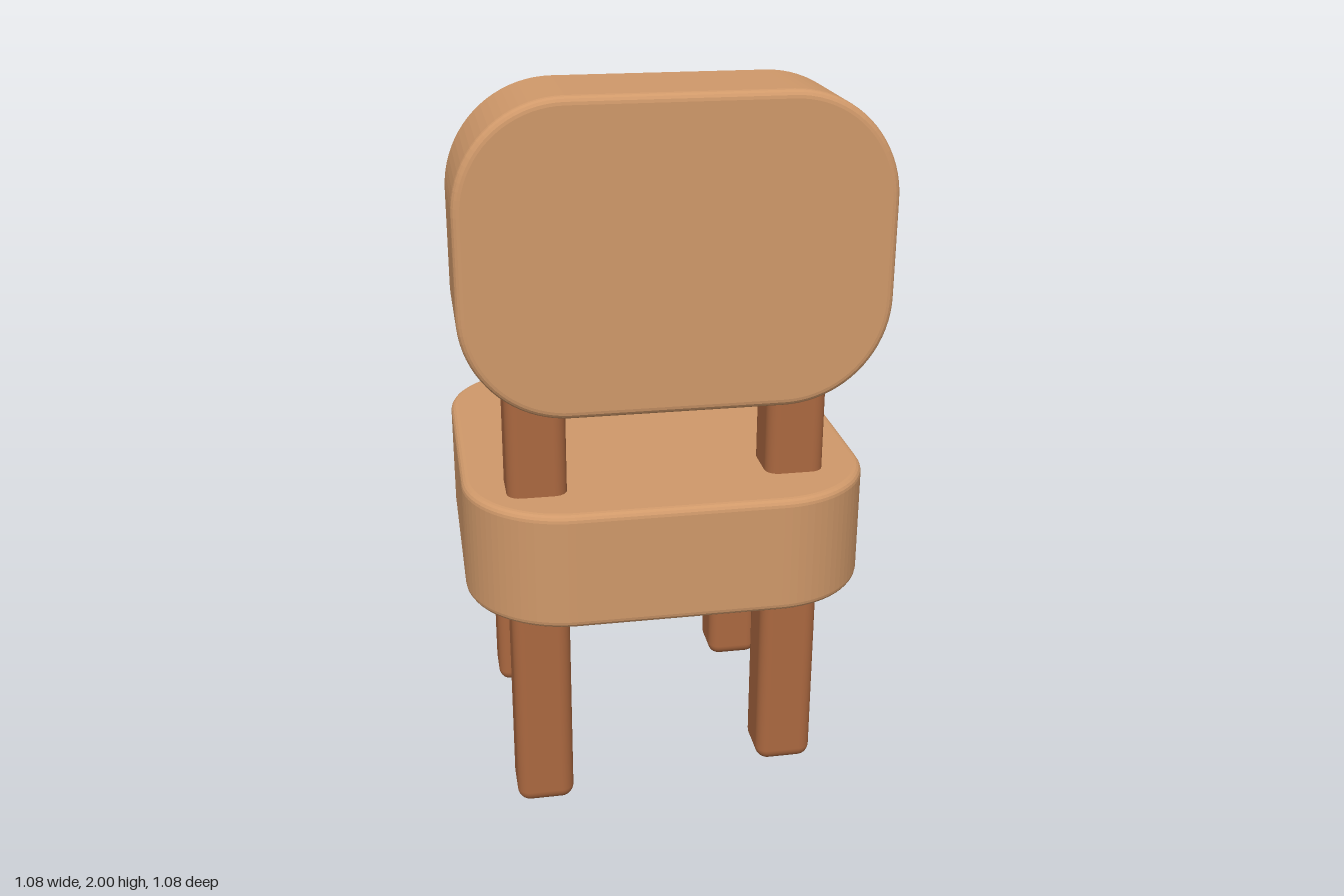
import * as THREE from 'three';
import { RoundedBoxGeometry } from 'three/addons/geometries/RoundedBoxGeometry.js';

const paleWood = new THREE.MeshStandardMaterial({ name: 'pale wood', color: 0xd0996a });
const darkWood = new THREE.MeshStandardMaterial({ name: 'dark wood', color: 0xab6840 });

// Thick slab with broad round corners and a small rounded rim, centred on the origin
function slab(name, width, height, depth, radius) {
  const bevel = 0.02;
  const w = width / 2 - bevel, h = height / 2 - bevel, r = radius - bevel;
  const shape = new THREE.Shape();
  shape.absarc(w - r, h - r, r, 0, Math.PI / 2);
  shape.absarc(-w + r, h - r, r, Math.PI / 2, Math.PI);
  shape.absarc(-w + r, -h + r, r, Math.PI, Math.PI * 1.5);
  shape.absarc(w - r, -h + r, r, Math.PI * 1.5, Math.PI * 2);
  const geometry = new THREE.ExtrudeGeometry(shape, {
    depth: depth - 2 * bevel, bevelEnabled: true, bevelSize: bevel,
    bevelThickness: bevel, bevelSegments: 4, curveSegments: 10,
  });
  geometry.center();
  const mesh = new THREE.Mesh(geometry, paleWood);
  mesh.name = name;
  return mesh;
}

// Square post with softened edges
function post(name, x, z, bottom, top) {
  const geometry = new RoundedBoxGeometry(0.156, top - bottom, 0.156, 4, 0.035);
  const mesh = new THREE.Mesh(geometry, darkWood);
  mesh.name = name;
  mesh.position.set(x, (top + bottom) / 2, z);
  return mesh;
}

export function createModel() {
  const chair = new THREE.Group();
  chair.name = 'chair';

  // Seat lies flat
  const seat = slab('seat', 1.075, 1.075, 0.32, 0.27);
  seat.rotation.x = -Math.PI / 2;
  seat.position.y = 0.815;

  // Backrest stands above the +z edge
  const backrest = slab('backrest', 1.075, 0.786, 0.32, 0.27);
  backrest.position.set(0, 1.607, 0.333);

  // Two long posts run up into the backrest, two short legs stop in the seat
  chair.add(
    seat,
    backrest,
    post('rightBackrestPost', -0.349, 0.333, 0.037, 1.4),
    post('leftBackrestPost', 0.339, 0.294, 0.068, 1.4),
    post('rightLeg', -0.349, -0.361, 0, 0.8),
    post('leftLeg', 0.339, -0.361, 0.026, 0.8),
  );
  return chair;
}
